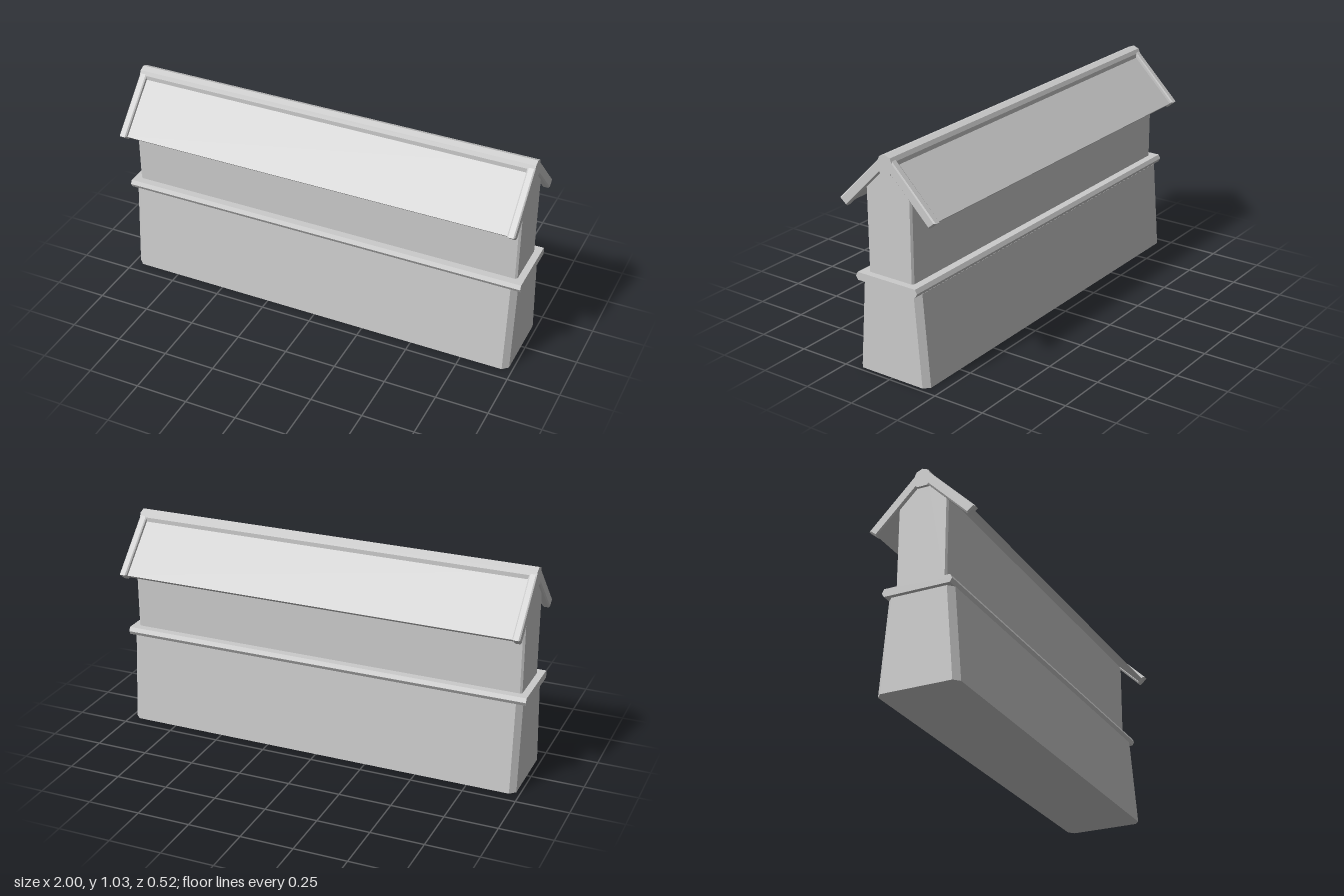
import * as THREE from 'three';
import { ConvexGeometry } from 'three/addons/geometries/ConvexGeometry.js';

const material = new THREE.MeshStandardMaterial({ color: 0xcccccc, flatShading: true });

function addMesh(parent, name, geometry) {
  const mesh = new THREE.Mesh(geometry, material);
  mesh.name = name;
  parent.add(mesh);
  return mesh;
}

// Rectangular ring with cut corners: half sizes x and z at height y
function ring(x, z, y, cutX, cutZ) {
  const points = [];
  for (const sx of [-1, 1]) for (const sz of [-1, 1]) {
    points.push(new THREE.Vector3(sx * x, y, sz * (z - cutZ)));
    points.push(new THREE.Vector3(sx * (x - cutX), y, sz * z));
  }
  return points;
}

// Extrude a [z, y] profile along x between x0 and x1, with an optional bevel
function prism(profile, x0, x1, bevel = 0) {
  const shape = new THREE.Shape(profile.map(([z, y]) => new THREE.Vector2(-z, y)));
  const geometry = new THREE.ExtrudeGeometry(shape, {
    depth: x1 - x0 - 2 * bevel, bevelEnabled: bevel > 0, bevelSize: bevel,
    bevelThickness: bevel, bevelOffset: -bevel, bevelSegments: 1,
  });
  geometry.translate(0, 0, x0 + bevel);
  return geometry.rotateY(Math.PI / 2);
}

// Complete a half profile by reflecting it across z = 0
const mirrored = (half) => [...half, ...half.map(([z, y]) => [-z, y]).reverse()];

export function createModel() {
  const model = new THREE.Group();
  model.name = 'roofedWall';

  // Tapered plinth with cut corners
  addMesh(model, 'plinth', new ConvexGeometry([
    ...ring(0.98, 0.193, 0, 0.027, 0.026),
    ...ring(0.98, 0.158, 0.435, 0.027, 0.026),
  ]));

  // Ledge with pointed front and back edges
  addMesh(model, 'ledge', prism(
    mirrored([[0.157, 0.435], [0.167, 0.453], [0.157, 0.472]]), -1, 1));

  // Upper wall, gabled into the roof
  addMesh(model, 'upperWall', new ConvexGeometry([
    ...ring(0.968, 0.121, 0.46, 0.01, 0.007),
    ...ring(0.968, 0.121, 0.872, 0.01, 0.007),
    ...ring(0.968, 0.03, 0.963, 0.01, 0.007),
  ]));

  // One roof slope on each side: a recessed panel framed by bevelled end boards
  for (const [name, turn] of [['frontSlope', 0], ['backSlope', Math.PI]]) {
    const slope = new THREE.Group();
    slope.name = name;
    slope.rotation.y = turn;
    addMesh(slope, 'roofPanel', prism(
      [[0.01, 0.98], [0.225, 0.765], [0.241, 0.779], [0.01, 1.01]], -0.96, 0.96));
    for (const x of [-0.982, 0.946]) {
      addMesh(slope, 'endBoard', prism(
        [[0.012, 0.965], [0.222, 0.755], [0.258, 0.785], [0.02, 1.023]], x, x + 0.036, 0.006));
    }
    model.add(slope);
  }

  // Ridge beam with a faceted top
  addMesh(model, 'ridgeBeam', prism(
    [[0, 1.033], ...mirrored([[-0.028, 1.022], [-0.037, 1.003], [-0.037, 0.965], [-0.025, 0.946]])],
    -0.982, 0.982));

  return model;
}
